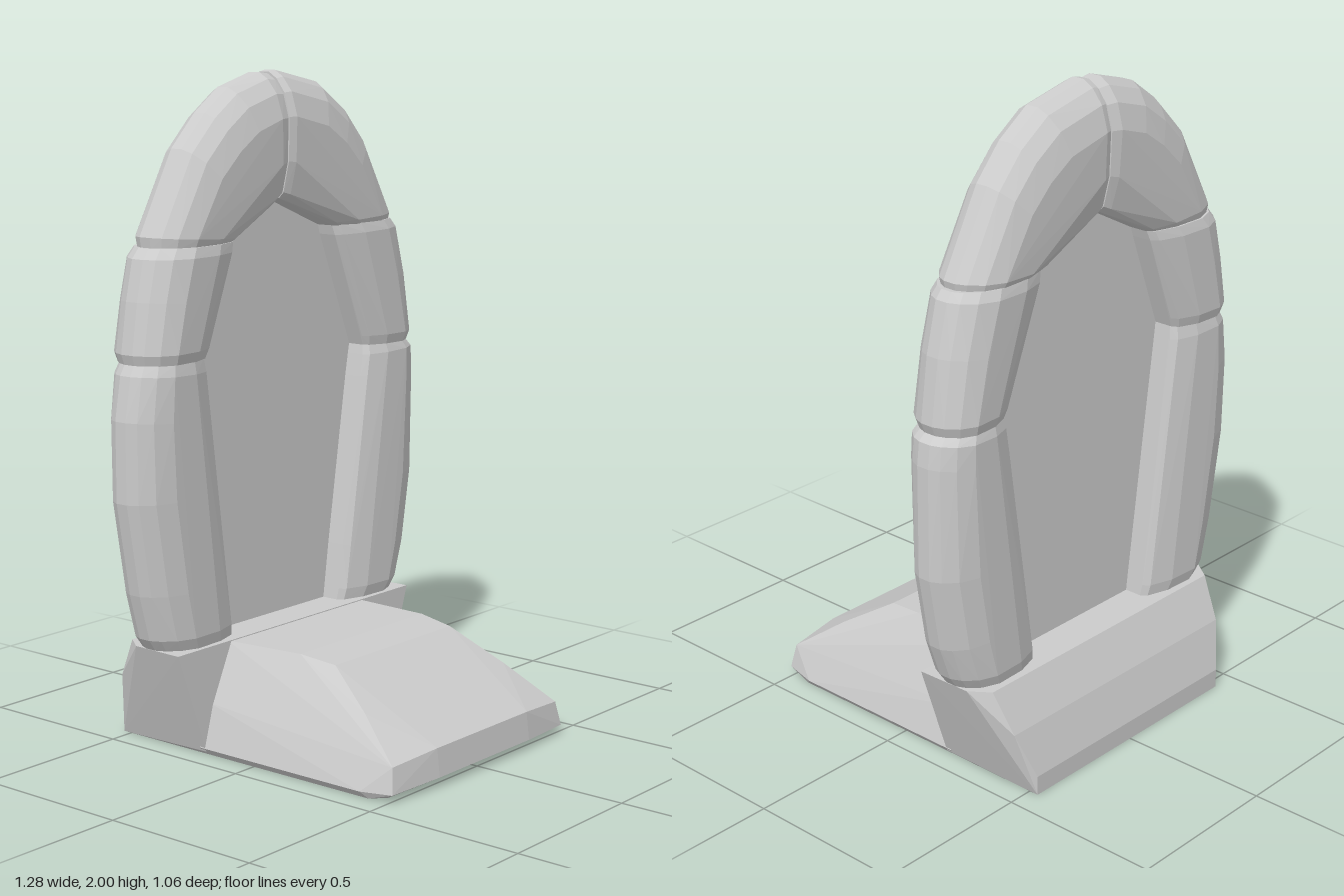
import * as THREE from 'three';
import { ConvexGeometry } from 'three/addons/geometries/ConvexGeometry.js';

const grey = new THREE.MeshStandardMaterial({ color: 0xcccccc, flatShading: true });
const greyThin = new THREE.MeshStandardMaterial({ color: 0xcccccc, side: THREE.DoubleSide });
const FRAME_Z = -0.3;

// Half cross-section of a frame stone: [inner-to-outer fraction, half depth]
const SECTION = [[0, 0.06], [0.05, 0.08], [0.3, 0.104], [0.65, 0.108], [0.84, 0.086], [0.95, 0.052], [1, 0.02]];

function hull(name, points) {
  const mesh = new THREE.Mesh(new ConvexGeometry(points), grey);
  mesh.name = name;
  return mesh;
}

// Stone through rows of [innerX, innerY, outerX, outerY]; its end rows are pinched a little
function stone(name, rows, depth = 1) {
  const points = [];
  rows.forEach(([ix, iy, ox, oy], i) => {
    const end = i === 0 || i === rows.length - 1;
    for (const [u, d] of SECTION) {
      for (const s of [-1, 1]) {
        const z = FRAME_Z + s * d * depth * (end ? 0.92 : 1);
        points.push(new THREE.Vector3(ix + (ox - ix) * u, iy + (oy - iy) * u, z));
      }
    }
  });
  return hull(name, points);
}

// Left-right symmetric block from [halfWidth, y, z] corners
function block(name, corners) {
  return hull(name, corners.flatMap(([x, y, z]) =>
    [new THREE.Vector3(x, y, z), new THREE.Vector3(-x, y, z)]));
}

export function createModel() {
  const model = new THREE.Group();
  model.name = 'stoneArchway';

  // Ring of frame stones
  const frame = new THREE.Group();
  frame.name = 'frame';
  frame.add(
    stone('rightColumn', [
      [-0.25, 0.325, -0.535, 0.325], [-0.254, 0.36, -0.56, 0.36], [-0.272, 0.5, -0.598, 0.5],
      [-0.308, 0.78, -0.645, 0.78], [-0.337, 1.0, -0.645, 1.02], [-0.355, 1.14, -0.622, 1.15],
      [-0.36, 1.18, -0.605, 1.18]]),
    stone('leftColumn', [
      [0.255, 0.325, 0.535, 0.325], [0.26, 0.36, 0.56, 0.36], [0.28, 0.5, 0.6, 0.47],
      [0.315, 0.7, 0.64, 0.7], [0.365, 1.03, 0.64, 1.04], [0.378, 1.1, 0.632, 1.11],
      [0.384, 1.13, 0.61, 1.13]]),
    stone('rightShoulder', [
      [-0.36, 1.18, -0.605, 1.18], [-0.349, 1.21, -0.615, 1.21], [-0.295, 1.35, -0.592, 1.36],
      [-0.243, 1.48, -0.565, 1.48], [-0.232, 1.51, -0.54, 1.51]], 1.08),
    stone('leftShoulder', [
      [0.384, 1.13, 0.61, 1.13], [0.373, 1.16, 0.622, 1.16], [0.305, 1.33, 0.597, 1.35],
      [0.24, 1.49, 0.56, 1.5], [0.23, 1.525, 0.54, 1.525]], 1.02),
    stone('rightArchStone', [
      [-0.24, 1.505, -0.53, 1.505], [-0.22, 1.518, -0.535, 1.54], [-0.175, 1.54, -0.4, 1.785],
      [-0.13, 1.565, -0.3, 1.885], [-0.085, 1.588, -0.2, 1.955], [-0.045, 1.607, -0.06, 1.995],
      [-0.02, 1.62, -0.02, 1.99]]),
    stone('leftArchStone', [
      [0.23, 1.52, 0.525, 1.52], [0.21, 1.53, 0.53, 1.545], [0.165, 1.55, 0.4, 1.785],
      [0.12, 1.57, 0.31, 1.885], [0.075, 1.588, 0.2, 1.96], [0.01, 1.612, 0.01, 2.0],
      [-0.015, 1.62, -0.015, 1.995]]),
  );
  model.add(frame);

  // Thin panel filling the opening, tucked into the stones
  const outline = [[-0.3, 0.28], [0.3, 0.28], [0.44, 1.13], [0.28, 1.56], [0, 1.7], [-0.28, 1.54], [-0.42, 1.18]];
  const panel = new THREE.Mesh(
    new THREE.ShapeGeometry(new THREE.Shape(outline.map(([x, y]) => new THREE.Vector2(x, y)))), greyThin);
  panel.name = 'panel';
  panel.position.z = FRAME_Z;
  model.add(panel);

  // Sill under the frame, flaring upwards, with a sloping back
  model.add(block('sill', [
    [0.43, 0.01, -0.18], [0.42, 0, -0.2], [0.54, 0.325, -0.185], [0.535, 0.325, -0.36],
    [0.49, 0.325, -0.42], [0.47, 0.2, -0.485], [0.42, 0.06, -0.53], [0.42, 0, -0.53]]));

  // Step in front, with sloping nose and chamfered sides
  model.add(block('step', [
    [0.435, 0.02, -0.2], [0.42, 0, -0.2], [0.31, 0.322, -0.2], [0.395, 0.15, -0.2],
    [0.29, 0.325, 0.07], [0.275, 0.31, 0.19], [0.335, 0.21, 0.35],
    [0.435, 0.02, 0.41], [0.42, 0, 0.43],
    [0.4, 0.1, 0.5], [0.415, 0.025, 0.512], [0.22, 0.115, 0.52], [0.22, 0.03, 0.53], [0.38, 0, 0.47]]));

  return model;
}
